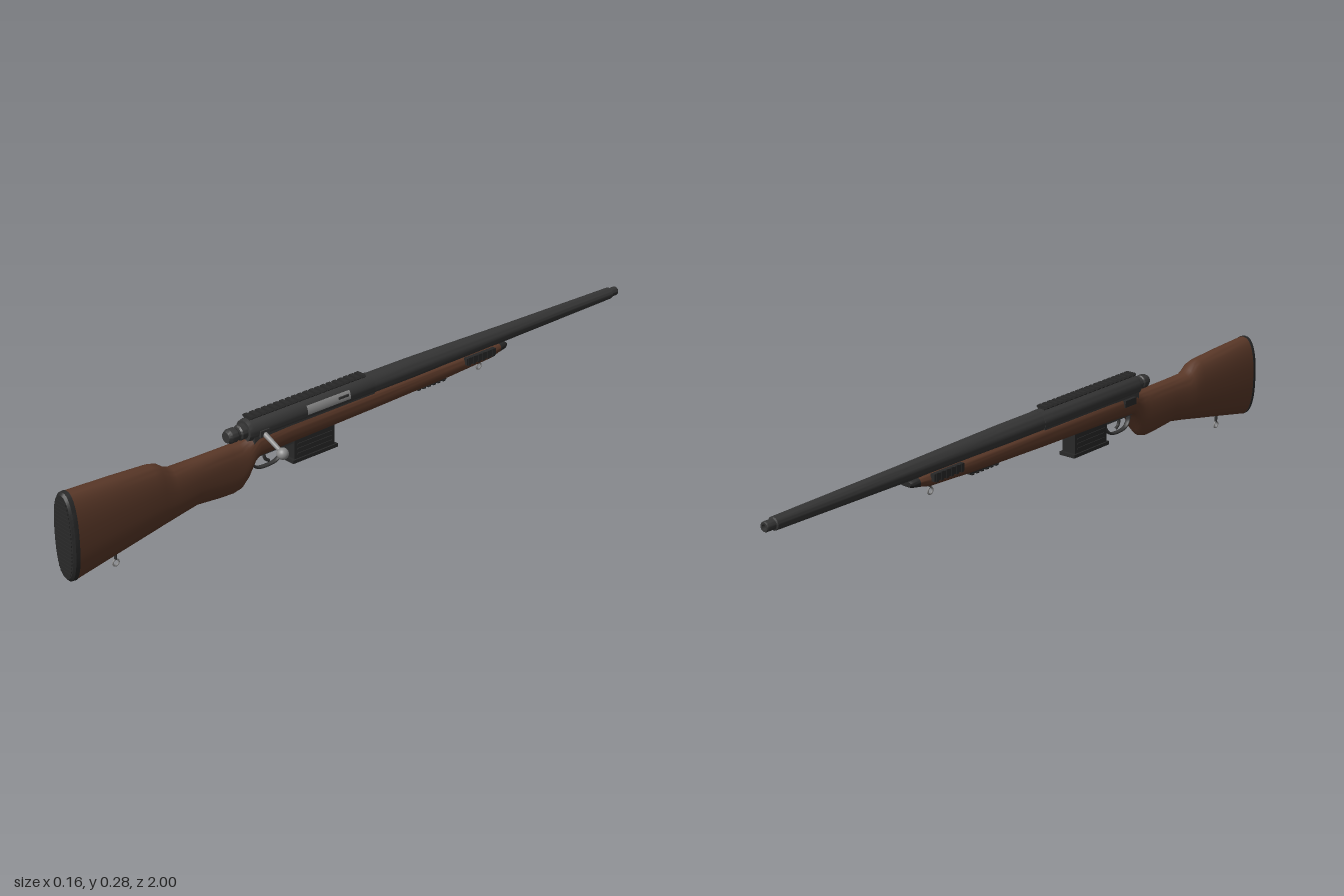
import * as THREE from 'three';
import { toCreasedNormals } from 'three/addons/utils/BufferGeometryUtils.js';

const CX = -0.0375, CY = 0.24; // bore axis

const mat = (name, color) => {
  const m = new THREE.MeshStandardMaterial({ color });
  m.name = name;
  return m;
};

// Closed body from superellipse sections [z, bottom, top, halfWidth, exponent], z increasing
function loft(stations, n = 40) {
  const pos = [], idx = [];
  const ring = ([z, b, t, w, e]) => {
    const start = pos.length / 3;
    for (let j = 0; j < n; j++) {
      const a = (j / n) * Math.PI * 2, c = Math.cos(a), s = Math.sin(a);
      pos.push(CX + w * Math.sign(c) * Math.abs(c) ** (2 / e),
        (b + t) / 2 + ((t - b) / 2) * Math.sign(s) * Math.abs(s) ** (2 / e), z);
    }
    return start;
  };
  const rings = stations.map(ring);
  for (let i = 0; i < rings.length - 1; i++) {
    for (let j = 0; j < n; j++) {
      const k = (j + 1) % n, a = rings[i], b = rings[i + 1];
      idx.push(a + j, a + k, b + j, a + k, b + k, b + j);
    }
  }
  for (const [st, back] of [[stations[0], true], [stations[stations.length - 1], false]]) {
    const r = ring(st), c = pos.length / 3;
    pos.push(CX, (st[1] + st[2]) / 2, st[0]);
    for (let j = 0; j < n; j++) {
      const k = (j + 1) % n;
      if (back) idx.push(c, r + k, r + j);
      else idx.push(c, r + j, r + k);
    }
  }
  const g = new THREE.BufferGeometry();
  g.setAttribute('position', new THREE.Float32BufferAttribute(pos, 3));
  g.setIndex(idx);
  return toCreasedNormals(g, 0.6);
}

// Turned part on the bore axis from [radius, z] points, z increasing
function turned(points, seg = 28) {
  const g = new THREE.LatheGeometry(points.map(p => new THREE.Vector2(p[0], p[1])), seg);
  g.rotateX(Math.PI / 2).translate(CX, CY, 0);
  return toCreasedNormals(g, 0.5);
}

// Box given by its centre and size, x measured from the centre plane
const box = (x, y, z, w, h, d) => new THREE.BoxGeometry(w, h, d).translate(CX + x, y, z);

// Round rod between two points
function rod(a, b, r1, r2) {
  const dir = b.clone().sub(a);
  const g = new THREE.CylinderGeometry(r2, r1, dir.length(), 16);
  g.applyQuaternion(new THREE.Quaternion().setFromUnitVectors(new THREE.Vector3(0, 1, 0), dir.clone().normalize()));
  const m = a.clone().add(b).multiplyScalar(0.5);
  return g.translate(m.x, m.y, m.z);
}

export function createModel() {
  const model = new THREE.Group();
  const wood = mat('walnut', 0x5a3828);
  const metal = mat('gunmetal', 0x353535);
  const black = mat('black', 0x282828);
  const steel = mat('steel', 0x8c8c8c);
  const add = (name, geo, material) => {
    const m = new THREE.Mesh(geo, material);
    m.name = name;
    model.add(m);
    return m;
  };

  // Stock: fore-end, wrist, grip swell and butt
  add('stock', loft([
    [-0.49, 0.197, 0.222, 0.026, 3], [-0.45, 0.188, 0.225, 0.031, 3], [-0.285, 0.18, 0.228, 0.034, 3],
    [0, 0.172, 0.229, 0.035, 3], [0.3, 0.166, 0.229, 0.035, 3], [0.4, 0.162, 0.227, 0.034, 3],
    [0.415, 0.148, 0.224, 0.033, 2.8], [0.435, 0.105, 0.218, 0.031, 2.6], [0.455, 0.083, 0.215, 0.03, 2.5],
    [0.48, 0.077, 0.215, 0.03, 2.4], [0.53, 0.08, 0.215, 0.031, 2.4], [0.6, 0.087, 0.215, 0.033, 2.4],
    [0.67, 0.075, 0.216, 0.036, 2.4], [0.69, 0.071, 0.224, 0.037, 2.4], [0.71, 0.067, 0.239, 0.038, 2.4],
    [0.735, 0.062, 0.245, 0.039, 2.4], [0.85, 0.04, 0.252, 0.0415, 2.4], [0.982, 0.014, 0.258, 0.0425, 2.4],
  ]), wood);
  add('foreEndCap', loft([
    [-0.518, 0.205, 0.218, 0.02, 3], [-0.51, 0.2, 0.221, 0.024, 3], [-0.488, 0.196, 0.223, 0.0268, 3],
  ]), black);

  // Butt pad with shallow ribs
  add('buttPad', loft([
    [0.98, 0.013, 0.259, 0.043, 2.4], [0.992, 0.014, 0.258, 0.0425, 2.4], [0.998, 0.022, 0.251, 0.038, 2.4],
  ]), black);
  for (let i = 0; i < 19; i++) {
    const y = 0.04 + i * 0.0107;
    const t = Math.abs(y - 0.1365) / 0.1145;
    add('padRib', box(0, y, 0.998, 0.068 * (1 - t ** 2.4) ** (1 / 2.4), 0.006, 0.004), black);
  }

  // Barrel with stepped muzzle and hollow bore
  add('barrel', turned([
    [0.007, -0.96], [0.007, -1], [0.012, -1], [0.0135, -0.997], [0.0135, -0.972], [0.0175, -0.97],
    [0.0205, -0.75], [0.0235, -0.53], [0.028, -0.3], [0.0305, -0.15], [0.031, 0.02],
  ]), metal);
  add('boreEnd', new THREE.CircleGeometry(0.0075, 16).rotateY(Math.PI).translate(CX, CY, -0.965), black);

  // Receiver, rear bridge and bolt shroud
  add('receiver', turned([[0, 0], [0.032, 0], [0.032, 0.42], [0.029, 0.432], [0, 0.432]]), metal);
  add('boltShroud', turned([
    [0, 0.43], [0.021, 0.43], [0.021, 0.448], [0.017, 0.452], [0.017, 0.458], [0.02, 0.462],
    [0.02, 0.48], [0.015, 0.49], [0, 0.49],
  ]), metal);
  add('receiverBed', box(0, 0.217, 0.21, 0.058, 0.028, 0.42), metal);

  // Ejection port showing the bolt body
  const port = new THREE.CylinderGeometry(0.0328, 0.0328, 0.15, 12, 1, true, 1.42, 0.8);
  add('boltBody', port.rotateX(Math.PI / 2).translate(CX, CY, 0.165), steel);
  add('extractor', box(0.0325, 0.249, 0.115, 0.004, 0.006, 0.035), metal);

  // Bolt handle
  const v = (x, y, z) => new THREE.Vector3(x, y, z);
  add('boltRoot', box(0.027, 0.232, 0.388, 0.018, 0.018, 0.03), metal);
  add('boltHandle', rod(v(-0.012, 0.232, 0.388), v(0.06, 0.198, 0.385), 0.0075, 0.006), steel);
  add('boltKnob', new THREE.SphereGeometry(0.016, 24, 16).translate(0.063, 0.196, 0.385), steel);

  // Left side bolt release
  add('boltRelease', box(-0.034, 0.21, 0.37, 0.01, 0.02, 0.05), black);

  // Scope rail: base and dovetail teeth
  add('railBase', box(0, 0.2695, 0.22, 0.022, 0.009, 0.4), black);
  const tooth = new THREE.Shape([[-0.013, 0], [0.013, 0], [0.0185, 0.005], [0.0145, 0.0095], [-0.0145, 0.0095], [-0.0185, 0.005]]
    .map(p => new THREE.Vector2(p[0], p[1])));
  for (let i = 0; i < 20; i++) {
    const g = new THREE.ExtrudeGeometry(tooth, { depth: 0.012, bevelEnabled: false });
    add('railTooth', g.translate(CX, 0.271, 0.022 + i * 0.0203), black);
  }

  // Magazine with side ribs and floor plate
  add('magazine', box(0, 0.143, 0.21, 0.044, 0.064, 0.14), black);
  for (const s of [-1, 1]) {
    for (const y of [0.128, 0.142, 0.156]) add('magazineRib', box(s * 0.0225, y, 0.21, 0.004, 0.005, 0.12), black);
  }
  add('magazinePlate', box(0, 0.11, 0.21, 0.052, 0.01, 0.156), black);
  add('bottomMetal', box(0, 0.165, 0.285, 0.036, 0.008, 0.26), metal);

  // Trigger guard and trigger
  const guard = new THREE.CatmullRomCurve3([
    v(CX, 0.165, 0.3), v(CX, 0.142, 0.303), v(CX, 0.122, 0.325), v(CX, 0.117, 0.36),
    v(CX, 0.122, 0.392), v(CX, 0.138, 0.407), v(CX, 0.163, 0.41),
  ]);
  const guardGeo = new THREE.TubeGeometry(guard, 36, 0.004, 8);
  guardGeo.translate(-CX, 0, 0).scale(2, 1, 1).translate(CX, 0, 0);
  add('triggerGuard', guardGeo, metal);
  const trigger = new THREE.CatmullRomCurve3([
    v(CX, 0.166, 0.362), v(CX, 0.15, 0.366), v(CX, 0.137, 0.362), v(CX, 0.128, 0.35),
  ]);
  add('trigger', new THREE.TubeGeometry(trigger, 14, 0.0045, 8), metal);

  // Accessory rails on the fore-end sides and underside
  for (const s of [-1, 1]) {
    add('sideRail', box(s * 0.034, 0.216, -0.395, 0.013, 0.02, 0.115), black);
    for (let i = 0; i < 6; i++) add('sideRailRib', box(s * 0.0405, 0.216, -0.442 + i * 0.019, 0.004, 0.024, 0.01), black);
  }
  add('lowerRail', box(0, 0.178, -0.228, 0.026, 0.012, 0.115), black);
  for (let i = 0; i < 6; i++) add('lowerRailRib', box(0, 0.1715, -0.275 + i * 0.019, 0.03, 0.004, 0.01), black);

  // Sling swivels: stud and ring
  for (const [y, z] of [[0.166, -0.425], [0.0115, 0.85]]) {
    add('slingStud', rod(v(CX, y + 0.009, z), v(CX, y + 0.036, z), 0.0035, 0.005), metal);
    add('slingRing', new THREE.TorusGeometry(0.009, 0.0025, 8, 20).rotateY(Math.PI / 2).translate(CX, y, z), steel);
  }
  return model;
}
